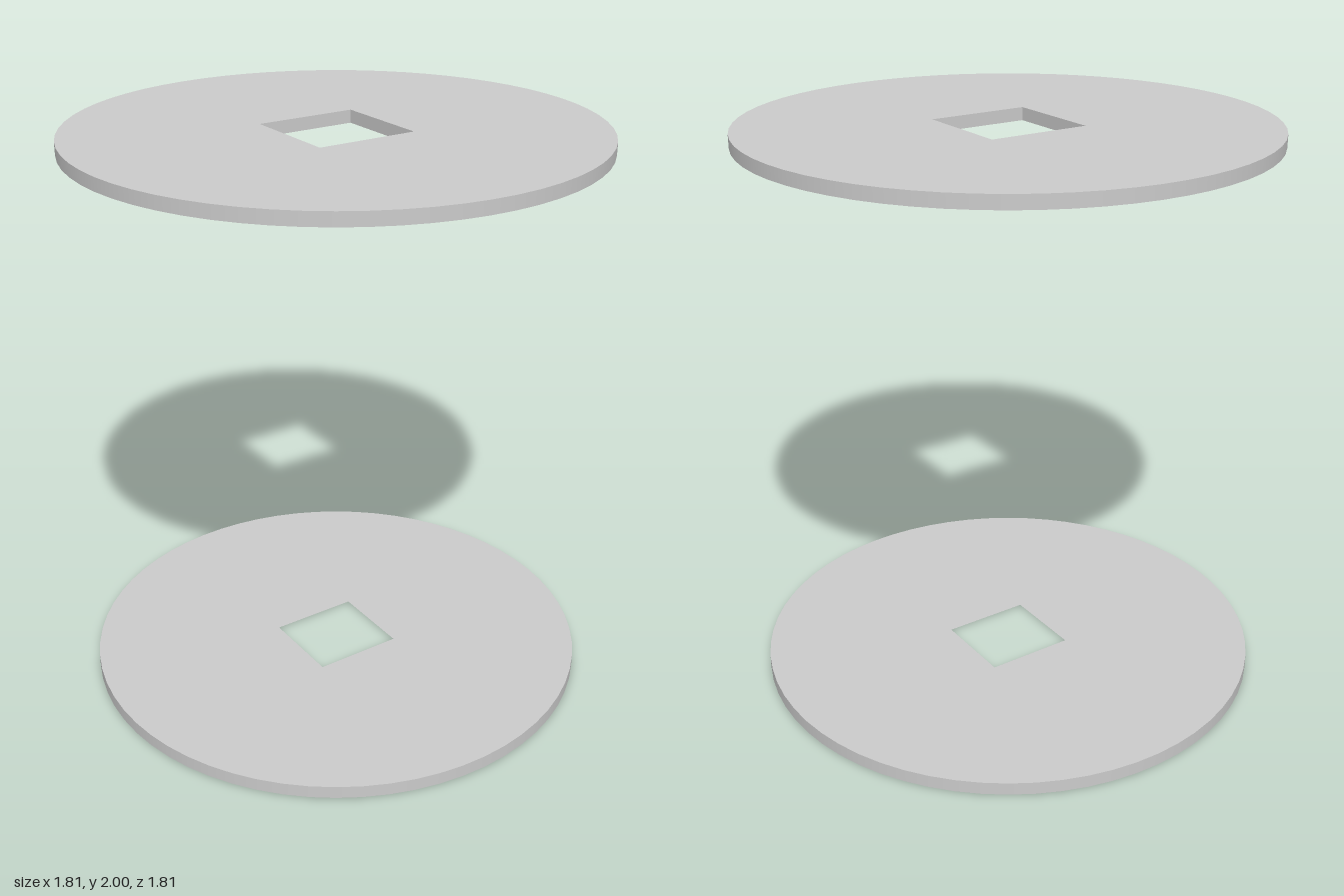
import * as THREE from 'three';

const RADIUS = 0.903, THICK = 0.045, HOLE = 0.181, HEIGHT = 2, SIDES = 64;

const material = new THREE.MeshStandardMaterial({ color: 0xcccccc, side: THREE.DoubleSide });

function addMesh(parent, name, geometry) {
  const mesh = new THREE.Mesh(geometry, material);
  mesh.name = name;
  parent.add(mesh);
  return mesh;
}

// Round face with a square hole, in the xy plane
function faceGeometry() {
  const shape = new THREE.Shape();
  shape.absarc(0, 0, RADIUS, 0, Math.PI * 2, false);
  shape.holes.push(new THREE.Path([
    new THREE.Vector2(-HOLE, -HOLE), new THREE.Vector2(-HOLE, HOLE),
    new THREE.Vector2(HOLE, HOLE), new THREE.Vector2(HOLE, -HOLE),
  ]));
  return new THREE.ShapeGeometry(shape, SIDES / 2);
}

// Disc centred on its own origin; its hole may be lined with walls or left open
function createDisc(name, lined) {
  const disc = new THREE.Group();
  disc.name = name;

  // Top and bottom faces
  for (const side of [1, -1]) {
    const face = addMesh(disc, side > 0 ? 'topFace' : 'bottomFace', faceGeometry());
    face.rotation.x = -side * Math.PI / 2;
    face.position.y = side * THICK / 2;
  }

  // Smooth outer rim
  addMesh(disc, 'rim', new THREE.CylinderGeometry(RADIUS, RADIUS, THICK, SIDES, 1, true));

  // Walls of the square hole, facing inward
  if (lined) {
    for (let i = 0; i < 4; i++) {
      const angle = i * Math.PI / 2;
      const wall = addMesh(disc, 'holeWall', new THREE.PlaneGeometry(HOLE * 2, THICK));
      wall.position.set(-Math.sin(angle) * HOLE, 0, -Math.cos(angle) * HOLE);
      wall.rotation.y = angle;
    }
  }
  return disc;
}

export function createModel() {
  const model = new THREE.Group();
  model.name = 'discPair';

  const upper = createDisc('upperDisc', true);
  upper.position.y = HEIGHT - THICK / 2;

  // The lower disc is a hollow shell with an unlined hole
  const lower = createDisc('lowerDisc', false);
  lower.position.y = THICK / 2;

  model.add(upper, lower);
  return model;
}
